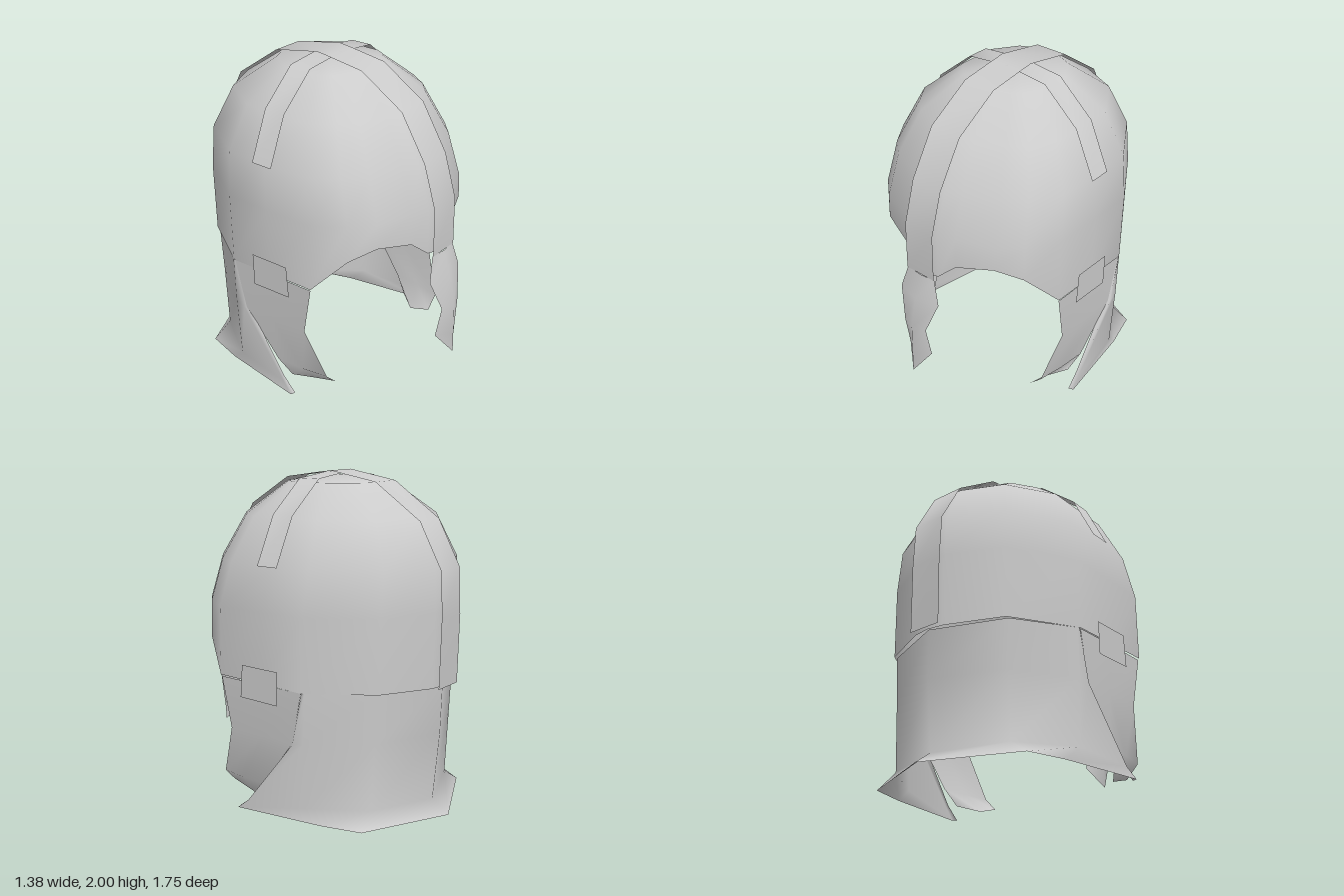
import * as THREE from 'three';
import { mergeVertices } from 'three/addons/utils/BufferGeometryUtils.js';

const material = new THREE.MeshStandardMaterial({ color: 0xcccccc, side: THREE.DoubleSide });

// Smooth sheet from rows of points: rows run downwards, columns left to right seen from outside
function sheet(name, rows, closed = false) {
  const n = rows[0].length;
  const index = [];
  for (let r = 0; r < rows.length - 1; r++) {
    for (let c = 0; c < (closed ? n : n - 1); c++) {
      const a = r * n + c, b = r * n + (c + 1) % n;
      index.push(a, a + n, b, b, a + n, b + n);
    }
  }
  let geometry = new THREE.BufferGeometry();
  geometry.setAttribute('position', new THREE.Float32BufferAttribute(rows.flat(2), 3));
  geometry.setIndex(index);
  geometry = mergeVertices(geometry, 1e-4);
  geometry.computeVertexNormals();
  const mesh = new THREE.Mesh(geometry, material);
  mesh.name = name;
  return mesh;
}

const mirrorRow = row => row.map(([x, y, z]) => [-x, y, z]).reverse();

// Same sheet on the left (+x) and the right (-x)
function pair(name, rows) {
  return [sheet('left' + name, rows), sheet('right' + name, rows.map(mirrorRow))];
}

function dome() {
  // half outline from front to back: width factor, depth factor, height of the lower rim
  const outline = [
    [0, 0.985, 0.94], [0.16, 0.965, 0.96], [0.3, 0.9, 1.04], [0.63, 0.8, 1.08], [0.82, 0.66, 1.01],
    [1, 0.44, 0.82], [1, 0.05, 0.81], [1, -0.31, 0.8], [0.65, -0.77, 0.8], [0.16, -0.96, 0.79], [0, -0.98, 0.79],
  ];
  // height, half width, front z, back z
  const rings = [
    [1.975, 0, -0.08, -0.08], [1.94, 0.28, 0.24, -0.4], [1.75, 0.5, 0.51, -0.69],
    [1.49, 0.62, 0.67, -0.83], [1.23, 0.66, 0.755, -0.845], [null, 0.66, 0.76, -0.835],
  ];
  const rows = rings.map(([y, w, front, back]) => {
    const half = outline.map(([u, v, rim]) =>
      [u * w, y ?? rim, (front + back) / 2 + v * (front - back) / 2]);
    return [...half, ...mirrorRow(half).slice(1, -1)];
  });
  return sheet('dome', rows, true);
}

function crestBand() {
  // y, z from the back rim over the top to the brow
  const path = [
    [0.79, -0.845], [1.2, -0.855], [1.47, -0.845], [1.74, -0.7], [1.945, -0.4], [2, -0.08],
    [1.99, 0], [1.955, 0.24], [1.78, 0.52], [1.51, 0.685], [1.25, 0.765], [0.95, 0.77],
  ];
  return sheet('crestBand', path.map(([y, z]) => [[-0.105, y, z], [0.105, y, z]]));
}

function crossBand() {
  // x, y, front z, back z from the crown to one end
  const half = [[0, 1.99, 0.01, -0.13], [0.28, 1.962, 0.01, -0.13], [0.515, 1.77, 0.02, -0.12], [0.65, 1.49, 0.03, -0.11]];
  const arm = s => half.map(([x, y, f, b]) => [[s * x, y, f], [s * x, y, b]]);
  return sheet('crossBand', [...arm(-1).reverse(), ...arm(1).slice(1)]);
}

function noseGuard() {
  // y, half width, ridge z, edge z
  const profile = [
    [0.95, 0.105, 0.775, 0.765], [0.8, 0.15, 0.825, 0.785], [0.61, 0.085, 0.866, 0.835],
    [0.41, 0.09, 0.872, 0.8], [0.28, 0, 0.875, 0.875],
  ];
  return sheet('noseGuard', profile.map(([y, w, ridge, edge]) => [[-w, y, edge], [0, y, ridge], [w, y, edge]]));
}

function neckGuard() {
  // left half of each row from the inner rim and front edge to the middle of the back
  const halves = [
    [[0.635, 0.8, -0.26], [0.655, 0.8, -0.285], [0.65, 0.8, -0.3], [0.43, 0.8, -0.63], [0, 0.79, -0.81]],
    [[0.635, 0.48, -0.19], [0.66, 0.49, -0.22], [0.65, 0.5, -0.29], [0.42, 0.5, -0.62], [0, 0.5, -0.8]],
    [[0.645, 0.1, 0.08], [0.675, 0.09, 0.1], [0.635, 0.11, -0.28], [0.42, 0.1, -0.6], [0, 0.085, -0.76]],
    [[0.66, 0.03, 0.18], [0.69, 0.03, 0.17], [0.61, 0.02, -0.38], [0.545, 0.015, -0.62], [0, 0.005, -0.87]],
  ];
  return sheet('neckGuard', halves.map(half => [...half, ...mirrorRow(half).slice(1)]));
}

// Cheek plates, with the lower front corner curling inwards
function cheekPlates() {
  return pair('CheekPlate', [
    [[0.655, 0.81, 0.31], [0.657, 0.805, 0], [0.655, 0.8, -0.28]],
    [[0.645, 0.5, 0.25], [0.65, 0.5, 0], [0.65, 0.49, -0.21]],
    [[0.58, 0.19, 0.365], [0.61, 0.19, 0.2], [0.625, 0.19, 0.02]],
    [[0.5, 0.11, 0.365], [0.5, 0.065, 0.22], [0.59, 0.09, 0.1]],
  ]);
}

function hingePlates() {
  return pair('HingePlate', [
    [[0.668, 0.905, 0.14], [0.668, 0.9, -0.12]],
    [[0.668, 0.71, 0.155], [0.668, 0.7, -0.115]],
  ]);
}

export function createModel() {
  const helmet = new THREE.Group();
  helmet.name = 'helmet';
  helmet.add(dome(), crestBand(), crossBand(), noseGuard(), neckGuard(), ...cheekPlates(), ...hingePlates());
  return helmet;
}
